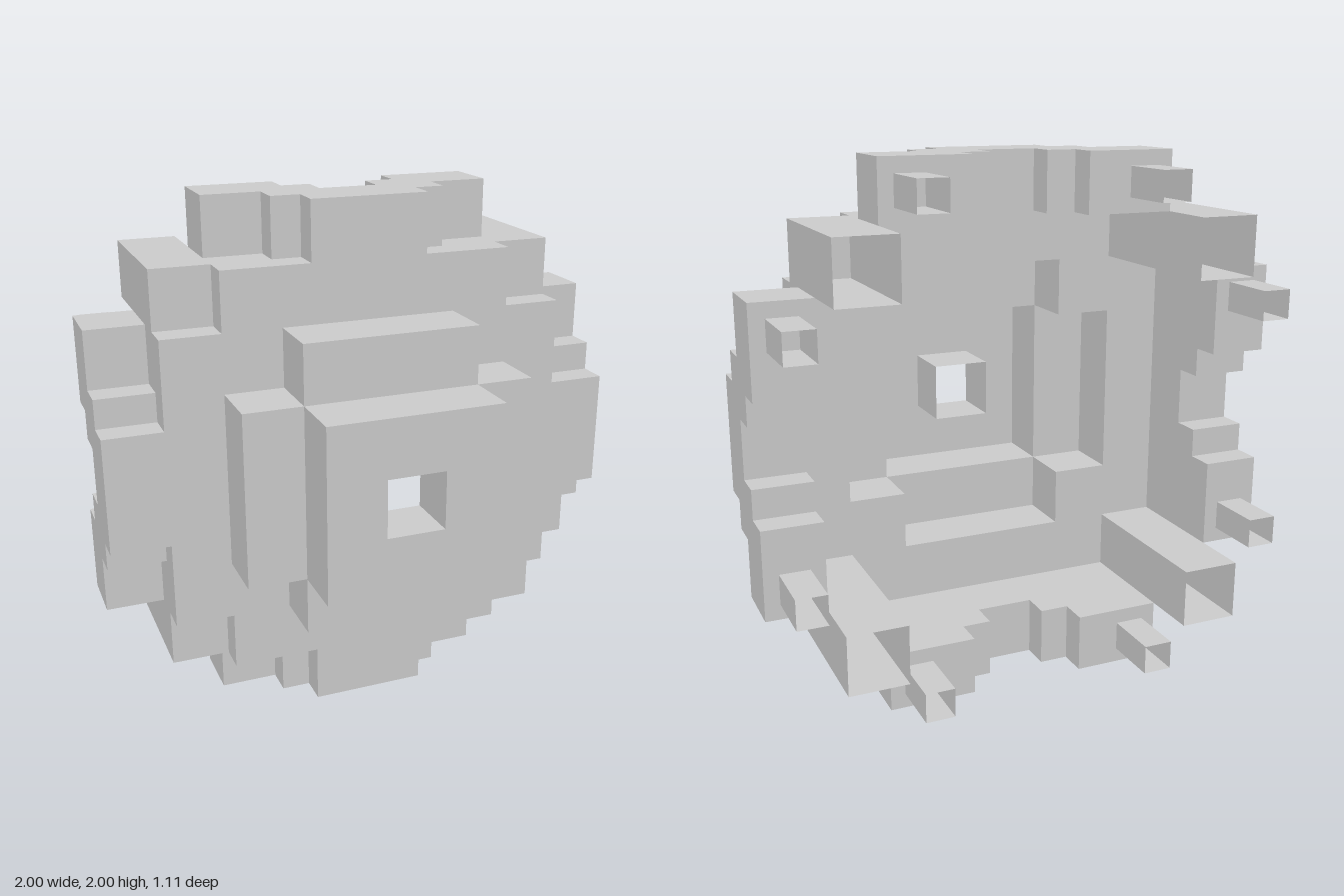
import * as THREE from 'three';
import { mergeGeometries } from 'three/addons/utils/BufferGeometryUtils.js';

const material = new THREE.MeshStandardMaterial({ color: 0xcccccc, side: THREE.DoubleSide, flatShading: true });

// Outlines on the unit grid (18 units across)
const rect = (x0, x1, y0, y1) => [[x0, y0], [x1, y0], [x1, y1], [x0, y1]];
const square = (r, cx = 0, cy = 0) => rect(cx - r, cx + r, cy - r, cy + r);
const plus = (a, b) => [
  [a, -b], [a, b], [b, b], [b, a], [-b, a], [-b, b],
  [-a, b], [-a, -b], [-b, -b], [-b, -a], [b, -a], [b, -b],
];
const toPoints = (pts) => pts.map(([x, y]) => new THREE.Vector2(x, y));

// Flat panel at height z, with optional holes
function face(pts, z, holes = []) {
  const shape = new THREE.Shape(toPoints(pts));
  shape.holes = holes.map((h) => new THREE.Path(toPoints(h)));
  return new THREE.ShapeGeometry(shape).toNonIndexed().translate(0, 0, z);
}

// Thin walls following an outline from z0 to z1
function walls(pts, z0, z1, closed = true) {
  const parts = [];
  const count = closed ? pts.length : pts.length - 1;
  for (let i = 0; i < count; i++) {
    const [ax, ay] = pts[i];
    const [bx, by] = pts[(i + 1) % pts.length];
    const g = new THREE.PlaneGeometry(Math.hypot(bx - ax, by - ay), z1 - z0);
    g.rotateX(Math.PI / 2).rotateZ(Math.atan2(by - ay, bx - ax));
    parts.push(g.translate((ax + bx) / 2, (ay + by) / 2, (z0 + z1) / 2).toNonIndexed());
  }
  return mergeGeometries(parts);
}

function part(name, geometries) {
  const mesh = new THREE.Mesh(mergeGeometries(geometries), material);
  mesh.name = name;
  return mesh;
}

const mirrored = (half) => [...half, ...half.map(([x, y]) => [-x, y]).reverse()];

// One stepped rim block along the top edge, with two open prongs behind
function createRim() {
  const rim = new THREE.Group();
  rim.name = 'rim';
  const front = mirrored([[5, -3], [5, -1], [3, -1], [3, 0], [2, 0], [2, 1]]);
  const back = mirrored([[2, -3], [2, -2], [1, -2], [1, -1]]);
  const inner = mirrored([[5, -3], [5, 1]]);
  const block = part('rimBlock', [
    face([...front, ...[...back].reverse()], -9),
    face([...inner, ...[...back].reverse()], -7),
    walls(front, -9, -7, false),
    walls(back, -9, -7, false),
  ]);
  block.rotation.x = Math.PI / 2; // profile y becomes depth
  rim.add(block);
  for (const s of [-1, 1]) {
    rim.add(part('prong', [
      face(s > 0 ? rect(2, 5, 7, 9) : rect(-5, -2, 7, 9), -3, [square(0.5, 4 * s, 8)]),
      walls(square(0.5, 4 * s, 8), -5, -3),
    ]));
  }
  return rim;
}

// Square corner tube, open at the back
function createCorner() {
  const outline = square(1, 6, 6);
  return part('cornerTube', [
    face(outline, 0),
    walls(outline, -5, 0),
    walls([[5, 7], [5, 5], [7, 5]], 0, 1, false),
  ]);
}

export function createModel() {
  const model = new THREE.Group();
  model.name = 'steppedShell';
  const body = new THREE.Group();
  body.name = 'body';

  // Front plate, cross-shaped step, and central box with its short open tube
  body.add(part('plate', [face(plus(7, 5), 1, [plus(5, 3)])]));
  body.add(part('crossStep', [walls(plus(5, 3), 1, 3), face(plus(5, 3), 3, [square(3)])]));
  body.add(part('centreBox', [walls(square(3), 3, 5), face(square(3), 5, [square(1)])]));
  body.add(part('centreTube', [walls(square(1), 3, 5)]));

  // Four sides, each with a rim and a corner
  for (let i = 0; i < 4; i++) {
    const side = new THREE.Group();
    side.name = 'side';
    side.add(createRim(), createCorner());
    side.rotation.z = (i * Math.PI) / 2;
    body.add(side);
  }

  body.scale.setScalar(1 / 9);
  body.position.y = 1;
  model.add(body);
  return model;
}
